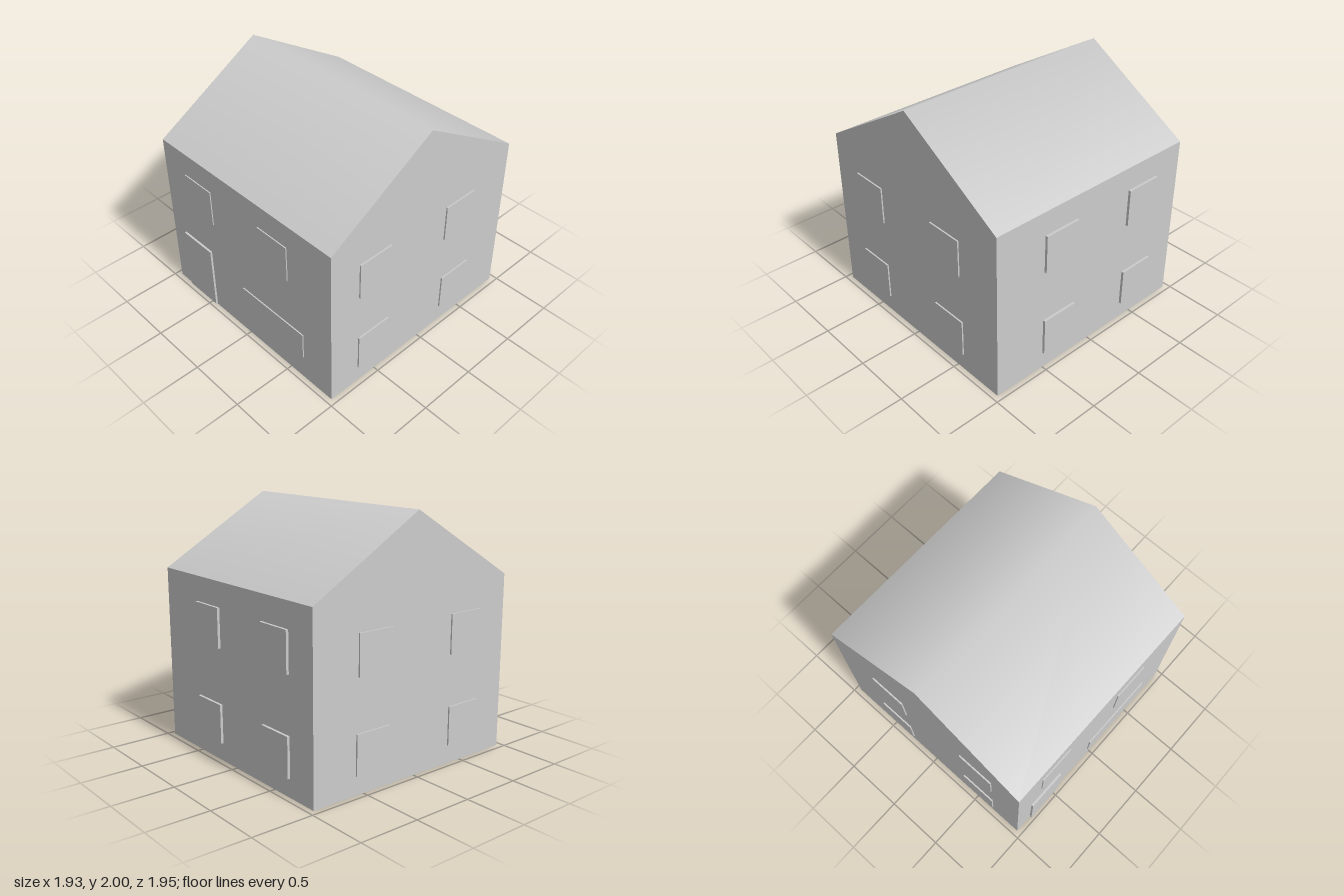
import * as THREE from 'three';

const W = 0.955, EAVE = 1.435, RIDGE = 2;
const mat = new THREE.MeshStandardMaterial({ color: 0xcccccc });

function add(group, name, geometry, material = mat) {
  const mesh = new THREE.Mesh(geometry, material);
  mesh.name = name;
  group.add(mesh);
}

// Gabled block, its cap (roof) left open for the smooth roof surface
function wallsGeometry() {
  const f = [], quad = (a, b, c, d) => f.push(...a, ...b, ...c, ...a, ...c, ...d);
  const p = (x, y, z) => [x * W, y, z * W];
  quad(p(-1, 0, 1), p(1, 0, 1), p(1, EAVE, 1), p(-1, EAVE, 1));
  quad(p(1, 0, -1), p(-1, 0, -1), p(-1, EAVE, -1), p(1, EAVE, -1));
  quad(p(-1, 0, -1), p(1, 0, -1), p(1, 0, 1), p(-1, 0, 1));
  for (const s of [1, -1]) {
    quad(p(s, 0, s), p(s, 0, -s), p(s, EAVE, -s), p(s, EAVE, s));
    f.push(...p(s, EAVE, s), ...p(s, EAVE, -s), ...p(s, RIDGE, 0));
  }
  const g = new THREE.BufferGeometry();
  g.setAttribute('position', new THREE.Float32BufferAttribute(f, 3));
  g.computeVertexNormals();
  return g;
}

// Two slopes sharing their ridge vertices, so the shading blends over the ridge
function roofGeometry() {
  const g = new THREE.BufferGeometry();
  g.setAttribute('position', new THREE.Float32BufferAttribute([
    -W, EAVE, W, W, EAVE, W, -W, RIDGE, 0, W, RIDGE, 0, -W, EAVE, -W, W, EAVE, -W], 3));
  g.setIndex([0, 1, 3, 0, 3, 2, 2, 3, 5, 2, 5, 4]);
  g.computeVertexNormals();
  // Equal ridge normals at both ends
  for (const i of [2, 3]) g.attributes.normal.setXYZ(i, 0, 1, 0);
  return g;
}

// Thin panel on a wall: axis 'x' or 'z', side +1 or -1, u range along the wall, y range
function panel(group, name, axis, side, u0, u1, y0, y1, depth) {
  const along = u1 - u0, sunk = 0.02, t = depth + sunk;
  const g = axis === 'z'
    ? new THREE.BoxGeometry(along, y1 - y0, t)
    : new THREE.BoxGeometry(t, y1 - y0, along);
  const out = side * (W + (depth - sunk) / 2), mid = (u0 + u1) / 2;
  g.translate(axis === 'z' ? mid : out, (y0 + y1) / 2, axis === 'z' ? out : mid);
  add(group, name, g);
}

export function createModel() {
  const house = new THREE.Group();
  house.name = 'house';
  add(house, 'walls', wallsGeometry());
  add(house, 'roof', roofGeometry());

  // Front door and wide ground-floor window
  panel(house, 'door', 'z', 1, -0.79, -0.443, 0.015, 0.59, 0.018);
  panel(house, 'wideWindow', 'z', 1, -0.048, 0.652, 0.226, 0.467, 0.01);

  // Front and back windows
  for (const [x0, x1] of [[-0.687, -0.372], [0.183, 0.5]]) {
    panel(house, 'frontWindow', 'z', 1, x0, x1, 0.916, 1.234, 0.009);
    panel(house, 'backUpperWindow', 'z', -1, x0, x1, 0.916, 1.234, 0.021);
    panel(house, 'backLowerWindow', 'z', -1, x0, x1, 0.148, 0.466, 0.021);
  }

  // Gable windows, mirrored left and right
  for (const s of [1, -1]) {
    panel(house, 'sideUpperWindow', 'x', s, 0.363, 0.68, 0.88, 1.197, 0.012);
    panel(house, 'sideUpperWindow', 'x', s, -0.554, -0.237, 0.88, 1.197, 0.012);
    panel(house, 'sideLowerWindow', 'x', s, 0.363, 0.68, 0.148, 0.466, 0.012);
    panel(house, 'sideLowerWindow', 'x', s, -0.572, -0.254, 0.148, 0.466, 0.012);
  }
  return house;
}
